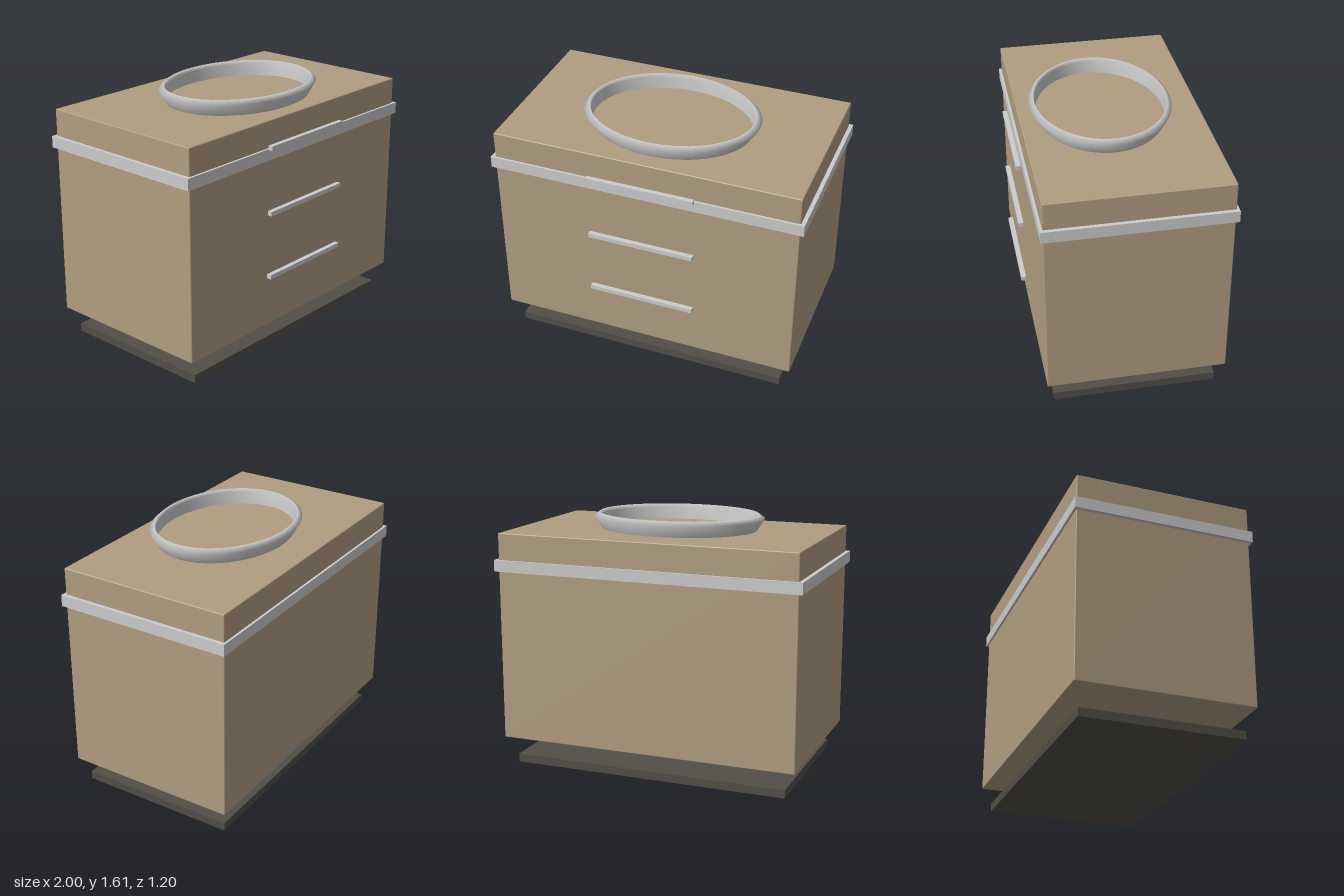
import * as THREE from 'three';
import { RoundedBoxGeometry } from 'three/addons/geometries/RoundedBoxGeometry.js';

const wood = new THREE.MeshStandardMaterial({ color: 0xb09d81 });
const dark = new THREE.MeshStandardMaterial({ color: 0x524e47 });
const grey = new THREE.MeshStandardMaterial({ color: 0xcccccc });
const basinGrey = new THREE.MeshStandardMaterial({ color: 0xcccccc, side: THREE.DoubleSide });

// Box given by its half width and its y and z ranges, with optional rounded edges
function box(name, halfX, [y0, y1], [z0, z1], material, radius = 0) {
  const size = [halfX * 2, y1 - y0, z1 - z0];
  const geometry = radius
    ? new RoundedBoxGeometry(...size, 2, radius)
    : new THREE.BoxGeometry(...size);
  const mesh = new THREE.Mesh(geometry, material);
  mesh.name = name;
  mesh.position.set(0, (y0 + y1) / 2, (z0 + z1) / 2);
  return mesh;
}

export function createModel() {
  const model = new THREE.Group();
  model.name = 'vanityCabinet';

  // Recessed plinth, main body and the band around it
  model.add(box('plinth', 0.903, [0, 0.053], [-0.535, 0.488], dark));
  model.add(box('cabinetBody', 0.975, [0.175, 1.513], [-0.585, 0.535], wood, 0.007));
  model.add(box('countertopBand', 1, [1.27, 1.343], [-0.6, 0.55], grey));

  // Drawer handles
  for (const y of [0.535, 0.95, 1.363]) {
    model.add(box('drawerHandle', 0.34, [y - 0.014, y + 0.014], [0.57, 0.6], grey));
  }

  // Oval basin rim: flared outside, chamfered lip, near-vertical inside
  const profile = [
    [0.506, 1.505], [0.56, 1.587], [0.522, 1.614], [0.513, 1.59], [0.506, 1.505],
  ].map(([r, y]) => new THREE.Vector2(r, y));
  const basin = new THREE.Mesh(new THREE.LatheGeometry(profile, 64), basinGrey);
  basin.name = 'basinRim';
  basin.scale.z = 0.78;
  basin.position.z = 0.03;
  model.add(basin);

  return model;
}
